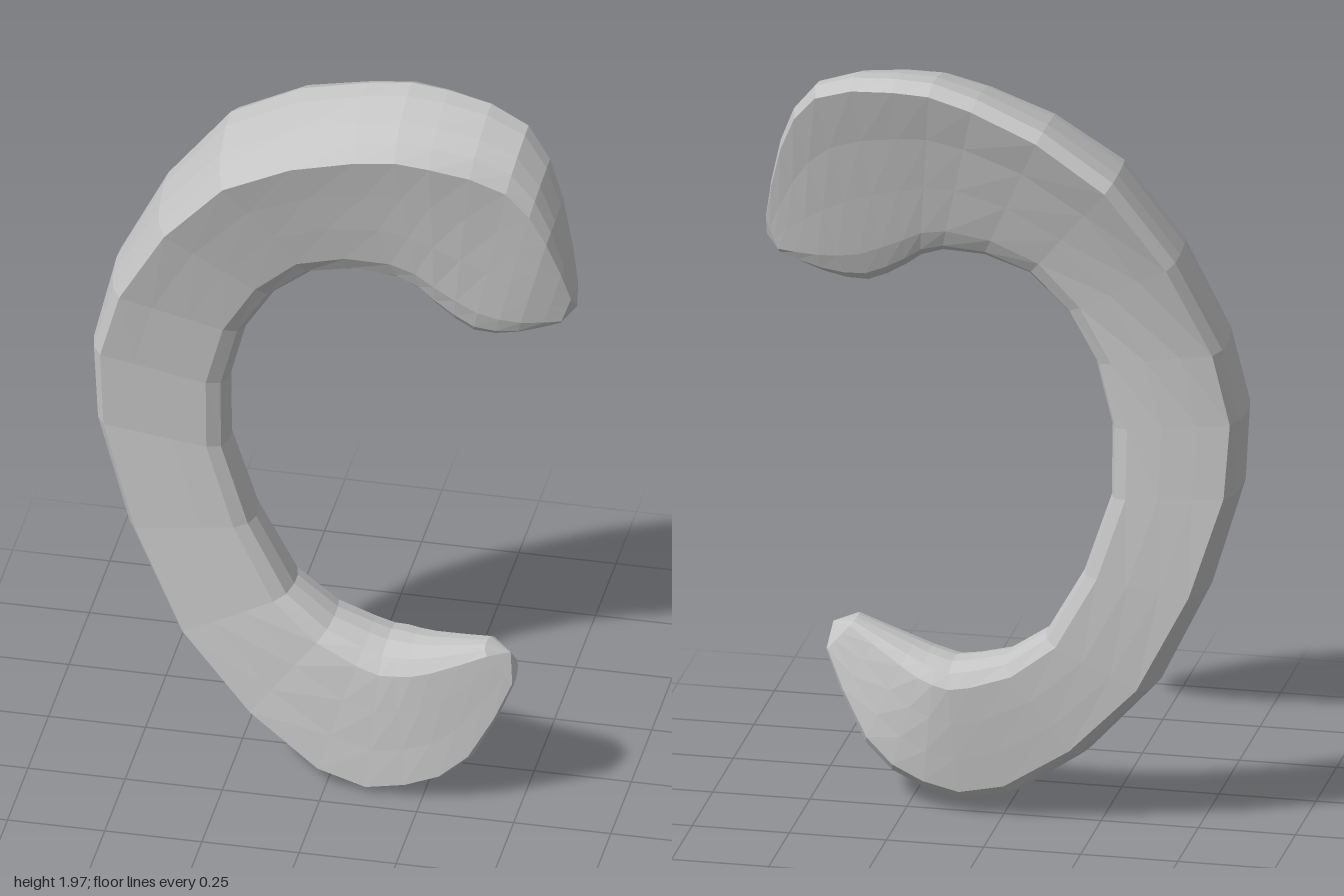
import * as THREE from 'three';

const { lerp, smoothstep } = THREE.MathUtils;

// Key stations along the C, lower horn to upper horn:
// outer x, y | inner x, y | outer z back, front | inner z back, front
const STATIONS = [
  [0.488, 0.37, 0.405, 0.463, 0.08, 0.18, 0.085, 0.18],
  [0.38, 0.13, 0.25, 0.42, 0.005, 0.193, 0.0, 0.18],
  [0.21, 0.018, 0.17, 0.405, -0.03, 0.193, -0.05, 0.165],
  [-0.03, 0.03, 0.09, 0.41, -0.045, 0.18, -0.065, 0.145],
  [-0.40, 0.38, -0.11, 0.51, -0.09, 0.13, -0.075, 0.10],
  [-0.62, 0.95, -0.283, 0.90, -0.13, 0.073, -0.08, 0.065],
  [-0.60, 1.35, -0.24, 1.25, -0.167, 0.088, -0.06, 0.07],
  [-0.32, 1.79, -0.06, 1.46, -0.193, 0.147, -0.015, 0.09],
  [0.05, 1.97, 0.17, 1.49, -0.122, 0.182, 0.03, 0.115],
  [0.27, 2.00, 0.27, 1.435, -0.085, 0.193, 0.055, 0.13],
  [0.49, 1.95, 0.37, 1.38, -0.033, 0.187, 0.075, 0.145],
  [0.59, 1.77, 0.485, 1.392, 0.03, 0.18, 0.08, 0.15],
  [0.633, 1.54, 0.595, 1.435, 0.08, 0.145, 0.085, 0.14],
];

// Front half of the rounded wedge section, mirrored for the back:
// u runs outer to inner, w runs back to front
const FRONT = [[0, 0.66], [0.02, 0.86], [0.08, 1], [0.33, 1], [0.6, 1], [0.86, 0.99], [0.96, 0.87], [1, 0.62]];
const SECTION = [...FRONT, ...FRONT.map(([u, w]) => [u, 1 - w]).reverse()];

// Rounded ends of the two horns
const LOWER_TIP = [0.468, 0.443, 0.135];
const UPPER_TIP = [0.634, 1.48, 0.11];

// Adds a smooth station halfway between each pair of key stations
function refine(stations) {
  const last = stations.length - 1;
  return stations.flatMap((a, i) => {
    if (i === last) return [a];
    const b = stations[i + 1];
    const before = stations[Math.max(i - 1, 0)];
    const after = stations[Math.min(i + 2, last)];
    return [a, a.map((v, k) => (9 * (v + b[k]) - before[k] - after[k]) / 16)];
  });
}

// The outer wall leans: its back edge is drawn in on the lower horn, its front edge on the upper
function sectionPoint([ox, oy, ix, iy, ob, of, ib, inf], [u, w], t) {
  const lean = lerp(-0.12, 0.13, smoothstep(t, 0.2, 0.65));
  const across = u + (1 - u) * (lean > 0 ? lean * w : -lean * (1 - w));
  const dish = Math.pow(Math.max(0, (u - 0.08) / 0.92), 0.85);
  return [
    lerp(ox, ix, across),
    lerp(oy, iy, across),
    lerp(lerp(ob, ib, dish), lerp(of, inf, dish), w),
  ];
}

function loftedCrescent() {
  const rings = refine(STATIONS);
  const n = SECTION.length;
  const last = (rings.length - 1) * n;
  const tip = rings.length * n;
  const positions = rings.flatMap((s, i) =>
    SECTION.flatMap((p) => sectionPoint(s, p, i / (rings.length - 1))));
  positions.push(...LOWER_TIP, ...UPPER_TIP);

  const index = [];
  for (let j = 0; j < n; j++) {
    const k = (j + 1) % n;
    for (let r = 0; r < last; r += n) {
      index.push(r + j, r + k, r + n + j, r + k, r + n + k, r + n + j);
    }
    index.push(k, j, tip, last + j, last + k, tip + 1);
  }
  const geometry = new THREE.BufferGeometry();
  geometry.setAttribute('position', new THREE.Float32BufferAttribute(positions, 3));
  geometry.setIndex(index);
  geometry.computeVertexNormals();
  return geometry;
}

export function createModel() {
  const group = new THREE.Group();
  group.name = 'crescent';
  const grey = new THREE.MeshStandardMaterial({ color: 0xc4c4c4, flatShading: true });
  grey.name = 'light grey';
  const body = new THREE.Mesh(loftedCrescent(), grey);
  body.name = 'crescentBody';
  group.add(body);
  return group;
}
